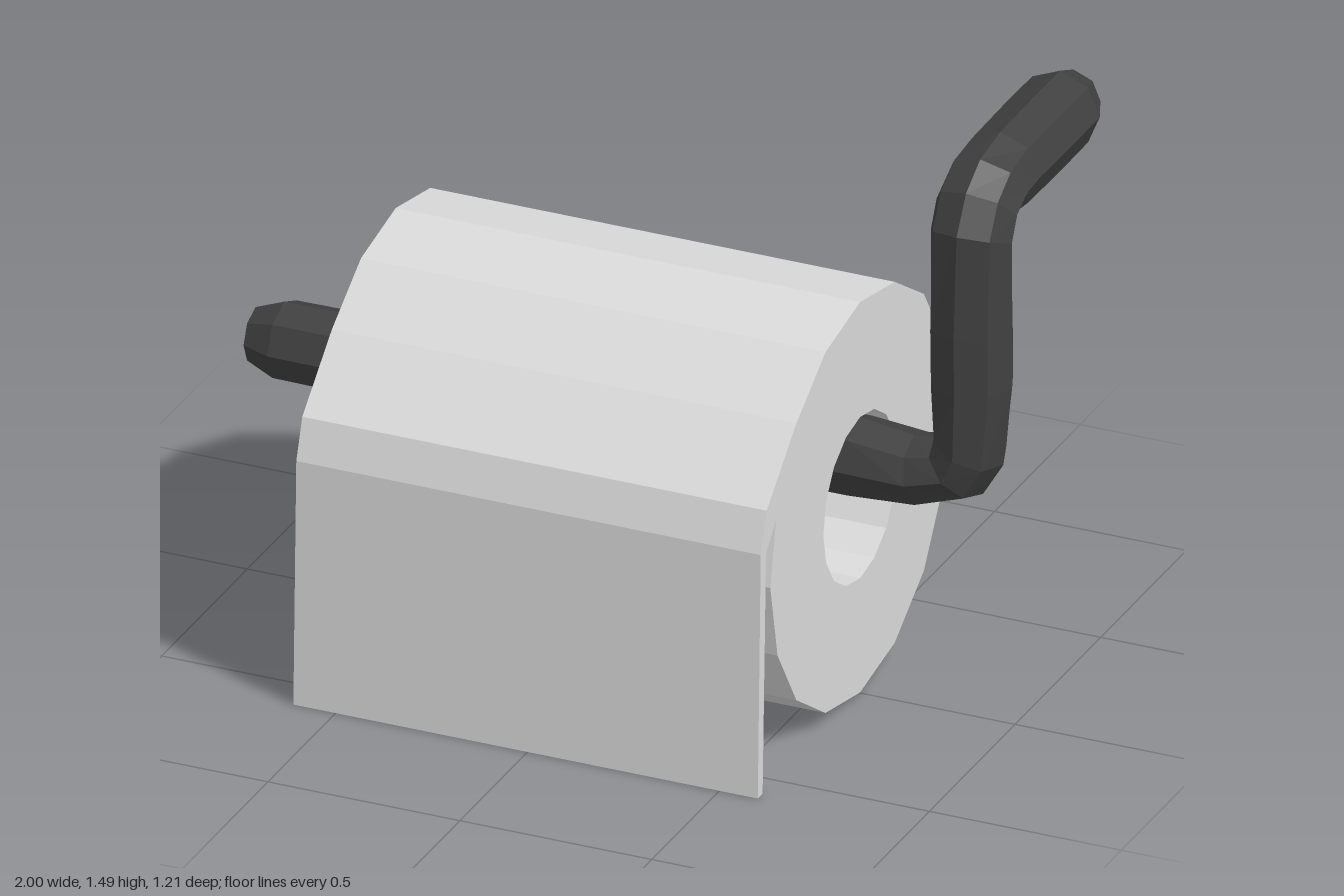
import * as THREE from 'three';

const paper = new THREE.MeshStandardMaterial({ color: 0xdadada });
paper.name = 'paper white';
const metal = new THREE.MeshStandardMaterial({ color: 0x404040 });
metal.name = 'dark metal';

const CZ = 0.008; // depth of the shared axis

// Paper roll with a hanging sheet: side profile as [z, y], extruded along x
function makeRoll() {
  const profile = [
    [0.008, 0.006], [0.21, 0.045], [0.38, 0.158], [0.49, 0.328], [0.532, 0.528],
    [0.498, 0.695], [0.557, 0.632], [0.577, 0], [0.605, 0], [0.588, 0.642],
    [0.553, 0.744], [0.38, 0.897], [0.21, 1.008], [0.008, 1.048], [-0.194, 1.008],
    [-0.364, 0.897], [-0.474, 0.727], [-0.513, 0.528], [-0.474, 0.328],
    [-0.364, 0.158], [-0.194, 0.045],
  ];
  const shape = new THREE.Shape(profile.map(([z, y]) => new THREE.Vector2(-z, y)));
  const hole = [];
  for (let i = 0; i < 16; i++) {
    const a = (i / 16) * Math.PI * 2;
    hole.push(new THREE.Vector2(-CZ + 0.215 * Math.cos(a), 0.526 + 0.215 * Math.sin(a)));
  }
  shape.holes.push(new THREE.Path(hole));
  const geo = new THREE.ExtrudeGeometry(shape, { depth: 1.21, bevelEnabled: false });
  geo.rotateY(Math.PI / 2);
  geo.translate(-0.61, 0, 0);
  const mesh = new THREE.Mesh(geo, paper);
  mesh.name = 'paperRoll';
  return mesh;
}

// Ring of the rod: centre plus two half-axis vectors
const ring = (c, u, v) => ({
  c: new THREE.Vector3(...c), u: new THREE.Vector3(...u), v: new THREE.Vector3(...v),
});
// Ring across the spindle at x
const spindle = (x, r) => ring([x, 0.638, CZ], [0, -r, 0], [0, 0, r]);
// Ring in the lower bend, from outer and inner [x, y]
const lowerBend = ([ox, oy], [ix, iy]) =>
  ring([(ox + ix) / 2, (oy + iy) / 2, CZ], [(ox - ix) / 2, (oy - iy) / 2, 0], [0, 0, 0.105]);
// Ring in the upper bend, from outer and inner [z, y]
const upperBend = ([oz, oy], [iz, iy]) =>
  ring([0.89, (oy + iy) / 2, (oz + iz) / 2], [0.105, 0, 0], [0, (oy - iy) / 2, (oz - iz) / 2]);
// Ring across the rear arm at z
const arm = (z, r) => ring([0.89, 1.382, z], [r, 0, 0], [0, r, 0]);

// Eight-sided bent rod with blunt pointed ends
function makeRod() {
  const rings = [
    spindle(-1, 0), spindle(-0.975, 0.07), spindle(-0.9, 0.1), spindle(-0.6, 0.103),
    spindle(0.6, 0.103),
    lowerBend([0.78, 0.552], [0.74, 0.722]),
    lowerBend([0.92, 0.602], [0.793, 0.728]),
    lowerBend([0.973, 0.69], [0.8, 0.765]),
    lowerBend([0.996, 0.9], [0.787, 0.9]),
    upperBend([0.113, 1.05], [-0.097, 1.05]),
    upperBend([0.095, 1.32], [-0.08, 1.25]),
    upperBend([0.04, 1.412], [-0.088, 1.284]),
    upperBend([-0.043, 1.465], [-0.12, 1.293]),
    arm(-0.16, 0.102), arm(-0.35, 0.104), arm(-0.51, 0.103), arm(-0.588, 0.07), arm(-0.605, 0),
  ];
  const N = 8;
  const pos = [];
  const point = (k, j) => {
    const a = (j / N) * Math.PI * 2;
    const { c, u, v } = rings[k];
    return c.clone().addScaledVector(u, Math.cos(a)).addScaledVector(v, Math.sin(a));
  };
  const tri = (...pts) => pts.forEach((p) => pos.push(p.x, p.y, p.z));
  for (let k = 0; k < rings.length - 1; k++) {
    for (let j = 0; j < N; j++) {
      const a = point(k, j), b = point(k, j + 1);
      const c = point(k + 1, j), d = point(k + 1, j + 1);
      if (k > 0) tri(a, c, b);
      if (k < rings.length - 2) tri(b, c, d);
    }
  }
  const geo = new THREE.BufferGeometry();
  geo.setAttribute('position', new THREE.Float32BufferAttribute(pos, 3));
  geo.computeVertexNormals();
  const mesh = new THREE.Mesh(geo, metal);
  mesh.name = 'holderRod';
  return mesh;
}

export function createModel() {
  const group = new THREE.Group();
  group.name = 'toiletRollHolder';
  group.add(makeRoll(), makeRod());
  return group;
}
